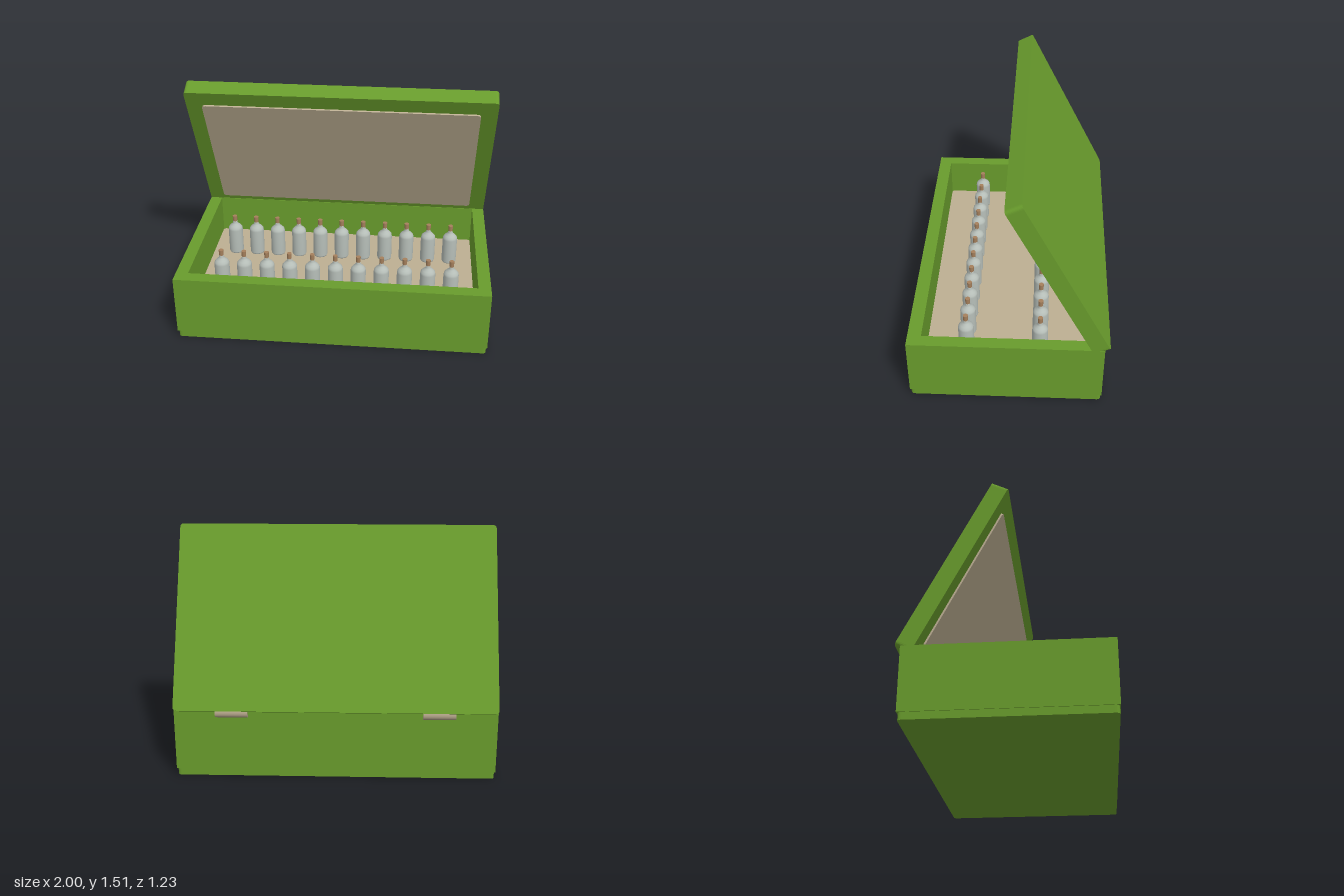
import * as THREE from 'three';

const mat = (name, color) => {
  const m = new THREE.MeshStandardMaterial({ color });
  m.name = name;
  return m;
};

// Rectangle outline with rounded corners, centred on (0, cy)
function roundedRect(w, h, r, cy = 0, Type = THREE.Shape) {
  const s = new Type(), x = w / 2, b = cy - h / 2, t = cy + h / 2;
  s.moveTo(-x + r, b);
  s.lineTo(x - r, b);
  s.quadraticCurveTo(x, b, x, b + r);
  s.lineTo(x, t - r);
  s.quadraticCurveTo(x, t, x - r, t);
  s.lineTo(-x + r, t);
  s.quadraticCurveTo(-x, t, -x, t - r);
  s.lineTo(-x, b + r);
  s.quadraticCurveTo(-x, b, -x + r, b);
  return s;
}

const extrude = (shape, depth) =>
  new THREE.ExtrudeGeometry(shape, { depth, bevelEnabled: false, curveSegments: 6 });

export function createModel() {
  const green = mat('green paint', 0x689b2c);
  const lining = mat('tan lining', 0xbcae92);
  const glass = mat('pale glass', 0xb6beb8);
  const cork = mat('cork', 0xa5805c);
  const metal = mat('hinge metal', 0xaa9c82);

  const model = new THREE.Group();
  const add = (parent, name, geo, material, x = 0, y = 0, z = 0) => {
    const mesh = new THREE.Mesh(geo, material);
    mesh.name = name;
    mesh.position.set(x, y, z);
    parent.add(mesh);
    return mesh;
  };
  // Horizontal slab rising from height y
  const slab = (name, shape, depth, material, y, z) => {
    add(model, name, extrude(shape, depth), material, 0, y, z).rotation.x = -Math.PI / 2;
  };

  // Case: floor with rounded corners, square walls, lining tray
  const midZ = 0.018;
  slab('floor', roundedRect(1.99, 1.19, 0.025), 0.045, green, 0, midZ);
  const walls = new THREE.Shape();
  walls.moveTo(-1, -0.6);
  walls.lineTo(1, -0.6);
  walls.lineTo(1, 0.6);
  walls.lineTo(-1, 0.6);
  walls.closePath();
  const opening = new THREE.Path();
  opening.moveTo(-0.92, -0.515);
  opening.lineTo(-0.92, 0.515);
  opening.lineTo(0.92, 0.515);
  opening.lineTo(0.92, -0.515);
  opening.closePath();
  walls.holes.push(opening);
  slab('walls', walls, 0.395, green, 0.045, midZ);
  slab('liningTray', roundedRect(1.838, 1.028, 0.02), 0.135, lining, 0.045, midZ);

  // Open lid, tilted about its lower rear edge
  const lid = new THREE.Group();
  lid.name = 'lid';
  lid.position.set(0, 0.45, -0.615);
  lid.rotation.x = 0.467;
  add(lid, 'lidBoard', extrude(roundedRect(2, 1.19, 0.025, 0.595), 0.106), green);
  add(lid, 'lidLining', extrude(roundedRect(1.79, 0.99, 0.025, 0.585), 0.012), lining, 0, 0, 0.105);
  model.add(lid);

  // Hinge barrels
  for (const side of [-1, 1]) {
    add(model, 'hinge', new THREE.CylinderGeometry(0.026, 0.026, 0.2, 20), metal,
      side * 0.64, 0.425, -0.583).rotation.z = Math.PI / 2;
  }

  // Two rows of corked bottles
  const points = [
    [0, 0], [0.038, 0], [0.046, 0.004], [0.05, 0.014], [0.05, 0.185], [0.047, 0.2],
    [0.036, 0.213], [0.021, 0.226], [0.015, 0.238], [0.014, 0.262], [0, 0.262],
  ].map(([x, y]) => new THREE.Vector2(x, y));
  const bottleGeo = new THREE.LatheGeometry(points, 20);
  const corkGeo = new THREE.CylinderGeometry(0.016, 0.0145, 0.045, 14);
  for (const z of [-0.19, 0.275]) {
    for (let i = 0; i < 11; i++) {
      const bottle = new THREE.Group();
      bottle.name = 'bottle';
      bottle.position.set(-0.76 + i * 0.152, 0.18, z);
      add(bottle, 'bottleGlass', bottleGeo, glass);
      add(bottle, 'bottleCork', corkGeo, cork, 0, 0.264, 0);
      model.add(bottle);
    }
  }
  return model;
}
